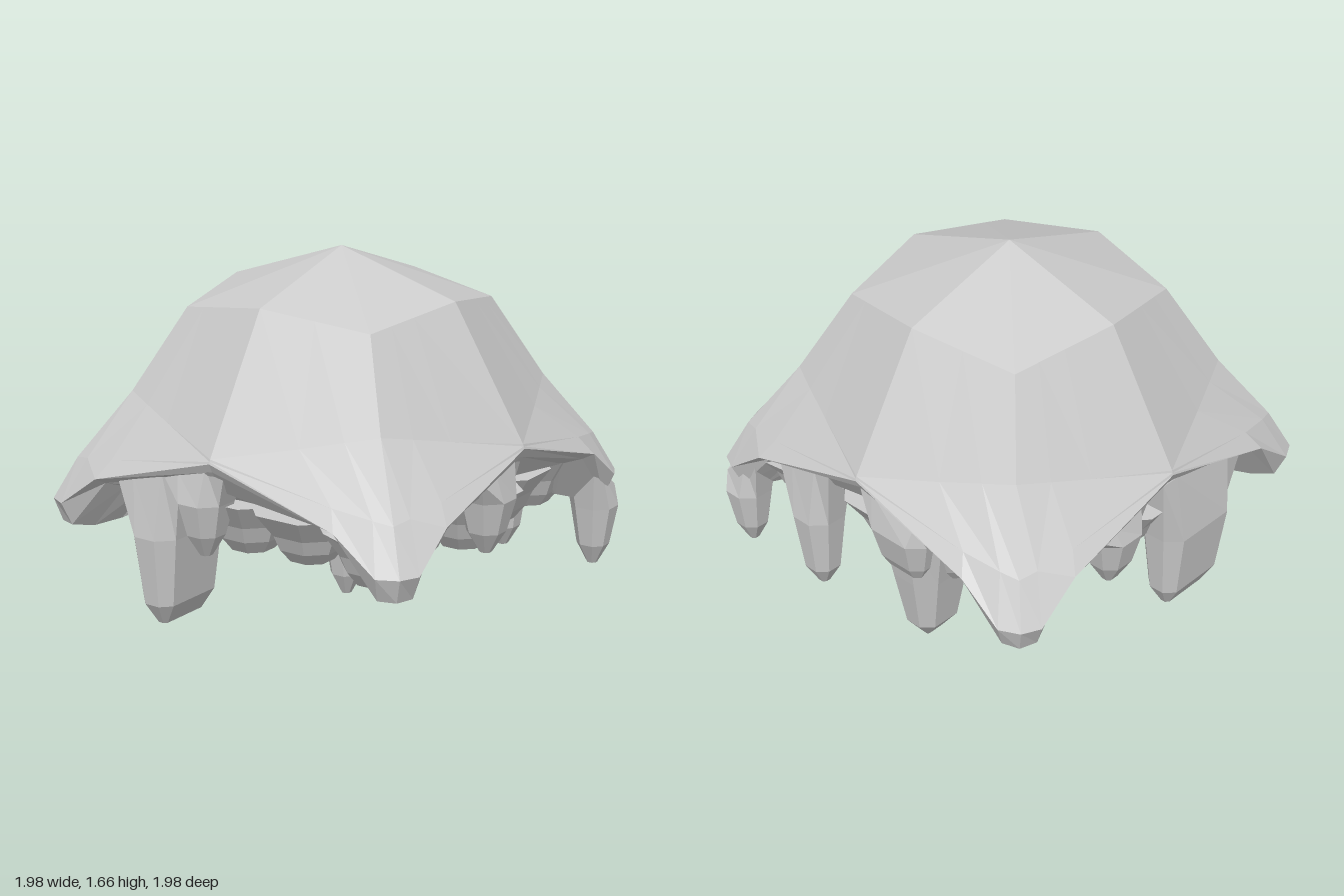
import * as THREE from 'three';

const material = new THREE.MeshStandardMaterial({ color: 0xcccccc, flatShading: true });

// Skin a stack of closed rings, listed from top to bottom, each running counter-clockwise from above
function loft(rings) {
  const pos = [];
  const tri = (a, b, c) => pos.push(...a, ...b, ...c);
  const centre = ring => [0, 1, 2].map(k => ring.reduce((s, p) => s + p[k], 0) / ring.length);
  const n = rings[0].length;
  const first = rings[0], last = rings[rings.length - 1];
  const top = centre(first), bottom = centre(last);
  for (let i = 0; i < n; i++) {
    const j = (i + 1) % n;
    tri(top, first[i], first[j]);
    for (let r = 0; r < rings.length - 1; r++) {
      const a = rings[r], b = rings[r + 1];
      tri(a[i], b[i], b[j]);
      tri(a[i], b[j], a[j]);
    }
    tri(last[j], last[i], bottom);
  }
  const g = new THREE.BufferGeometry();
  g.setAttribute('position', new THREE.Float32BufferAttribute(pos, 3));
  g.computeVertexNormals();
  return g;
}

// Ring with four-fold symmetry from: side middle, two lip points and the corner
function squareRing([m, s, t, c]) {
  const swap = ([x, y, z]) => [z, y, x];
  const quarter = [m, s, t, c, swap(t), swap(s)];
  const ring = [];
  for (let q = 0; q < 4; q++) {
    for (const p of quarter) {
      let [x, y, z] = p;
      for (let k = 0; k < q; k++) [x, z] = [z, -x];
      ring.push([x, y, z]);
    }
  }
  return ring;
}

// Chamfered rectangle ring, w and d are half sizes
function octagon(x, y, z, w, d) {
  const c = Math.min(w, d) * 0.55;
  return [[w - c, d], [w, d - c], [w, c - d], [w - c, -d], [c - w, -d], [-w, c - d], [-w, d - c], [c - w, d]]
    .map(([u, v]) => [x + u, y, z + v]);
}

// Height of the cap's lip, by distance from the middle of a side
const lipHeight = u => (u < 0.65 ? 0.86 - 0.277 * u : 0.68 - 0.71 * (u - 0.65));

// Keep a point under the cap
function tuck([x, y, z]) {
  const limit = v => THREE.MathUtils.clamp(v, -0.95, 0.95);
  return [limit(x), Math.min(y, lipHeight(Math.min(Math.abs(x), Math.abs(z))) - 0.015), limit(z)];
}

// Hanging drip, flared where it meets the cap and narrowing to a tip
function drip(x, z, w, d, top, bottom, taper = 0.78) {
  const h = top - bottom, m = Math.min(w, d);
  const at = (y, inset) => octagon(x, y, z, w - inset, d - inset);
  return loft([
    at(top, -0.45 * m).map(tuck),
    at(bottom + h * 0.55, 0),
    at(bottom + Math.min(0.1, h * 0.25), m * taper * 0.4),
    at(bottom, m * taper),
  ]);
}

export function createModel() {
  const model = new THREE.Group();
  const add = (name, geometry) => {
    const mesh = new THREE.Mesh(geometry, material);
    mesh.name = name;
    model.add(mesh);
  };

  // Faceted cap with a peaked lip on each side, rolling into a vaulted underside
  const apex = [0, 1.66, 0];
  const cap = [
    [apex, apex, apex, apex],
    [[0, 1.47, 0.61], [0.25, 1.435, 0.555], [0.38, 1.417, 0.526], [0.5, 1.4, 0.5]],
    [[0, 0.88, 0.967], [0.36, 0.95, 0.82], [0.54, 0.99, 0.745], [0.68, 1.02, 0.685]],
    [[0, 0.87, 0.971], [0.6, 0.765, 0.925], [0.78, 0.735, 0.89], [0.865, 0.72, 0.865]],
    [[0, 0.86, 0.975], [0.65, 0.68, 0.985], [0.86, 0.53, 0.99], [0.95, 0.53, 0.945]],
    [[0, 0.82, 0.955], [0.64, 0.65, 0.93], [0.84, 0.42, 0.945], [0.92, 0.42, 0.92]],
    [[0, 0.71, 0.88], [0.6, 0.62, 0.84], [0.79, 0.4, 0.85], [0.85, 0.4, 0.85]],
    [[0, 0.66, 0.78], [0.54, 0.61, 0.76], [0.7, 0.43, 0.76], [0.76, 0.43, 0.76]],
    [[0, 0.58, 0.68], [0.45, 0.56, 0.68], [0.58, 0.5, 0.68], [0.67, 0.5, 0.67]],
    [[0, 0.54, 0.25], [0.12, 0.54, 0.25], [0.2, 0.54, 0.25], [0.25, 0.54, 0.25]],
  ];
  add('cap', loft(cap.map(squareRing)));

  // Long drips: x, z, half width, half depth, top, bottom, taper
  const longDrips = [
    ['frontDrip', -0.37, 0.755, 0.125, 0.23, 0.8, 0.03],
    ['rightSideDrip', -0.87, 0.25, 0.12, 0.225, 0.8, 0.03],
    ['cornerDrip', 0.88, -0.88, 0.105, 0.105, 0.6, 0.06],
    ['backDrip', 0.38, -0.87, 0.115, 0.115, 0.78, 0.06],
    ['backInnerDrip', -0.2, -0.73, 0.14, 0.17, 0.7, 0, 0.9],
    ['innerDrip', -0.02, -0.49, 0.14, 0.2, 0.6, 0, 0.9],
    ['centreDrip', 0.12, 0.13, 0.1, 0.1, 0.6, 0.05],
  ];
  for (const [name, ...size] of longDrips) add(name, drip(...size));

  // Short drips under the peaks of the lip
  const shortDrips = [[-0.12, 0.86, 0.12, 0.12], [0.86, 0.12, 0.12, 0.12], [-0.86, -0.27, 0.12, 0.13], [-0.2, -0.86, 0.17, 0.12]];
  for (const [x, z, w, d] of shortDrips) add('shortDrip', drip(x, z, w, d, 0.86, 0.4));

  // Uneven blunt lobes covering the underside
  for (let row = -2; row <= 2; row++) {
    for (let col = -2; col <= 2; col++) {
      const x = col * 0.32 + 0.05 * Math.sin(row * 2.3 + col);
      const z = row * 0.32 + 0.05 * Math.cos(col * 2.7 + row);
      const low = 0.385 + 0.02 * Math.sin(row * 3.1 + col * 1.7);
      add('underLobe', drip(x, z, 0.17, 0.17, 0.64, low, 0.45));
    }
  }
  return model;
}
